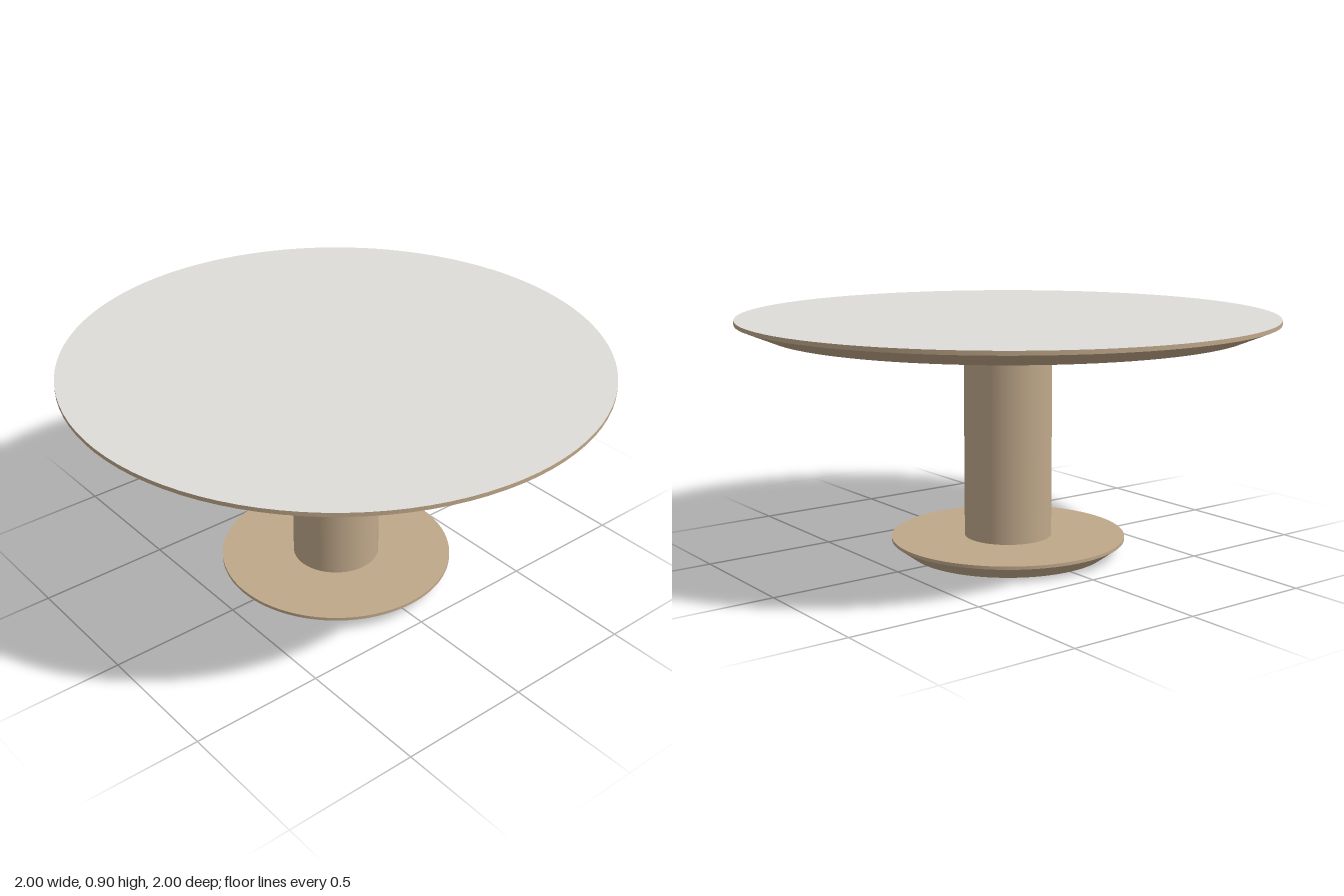
import * as THREE from 'three';

const SEGMENTS = 96;

export function createModel() {
  const table = new THREE.Group();
  table.name = 'pedestalTable';

  const wood = new THREE.MeshStandardMaterial({ color: 0xc0a88a });
  wood.name = 'tan wood';
  const stone = new THREE.MeshStandardMaterial({ color: 0xdddcd8 });
  stone.name = 'pale grey surface';

  // Round section from y0 (radius r0) up to y1 (radius r1)
  function section(name, r0, r1, y0, y1, parent = table, open = false, material = wood) {
    const geometry = new THREE.CylinderGeometry(r1, r0, y1 - y0, SEGMENTS, 1, open);
    const mesh = new THREE.Mesh(geometry, material);
    mesh.name = name;
    mesh.position.y = (y0 + y1) / 2;
    parent.add(mesh);
    return mesh;
  }

  // Foot: bevelled underside with a thin straight rim
  const foot = new THREE.Group();
  foot.name = 'foot';
  table.add(foot);
  section('footBevel', 0.375, 0.443, 0, 0.05, foot);
  section('footRim', 0.443, 0.443, 0.05, 0.062, foot);

  // Column and the round plate that carries the top
  section('column', 0.165, 0.165, 0.062, 0.8, table, true);
  section('supportPlate', 0.443, 0.443, 0.8, 0.84);

  // Tabletop: wide bevel, thin rim and a pale upper face
  const top = new THREE.Group();
  top.name = 'tabletop';
  table.add(top);
  section('topBevel', 0.89, 1, 0.84, 0.885, top);
  // cylinder groups: side, upper cap, lower cap
  section('topRim', 1, 1, 0.885, 0.9, top, false, [wood, stone, wood]);

  return table;
}
